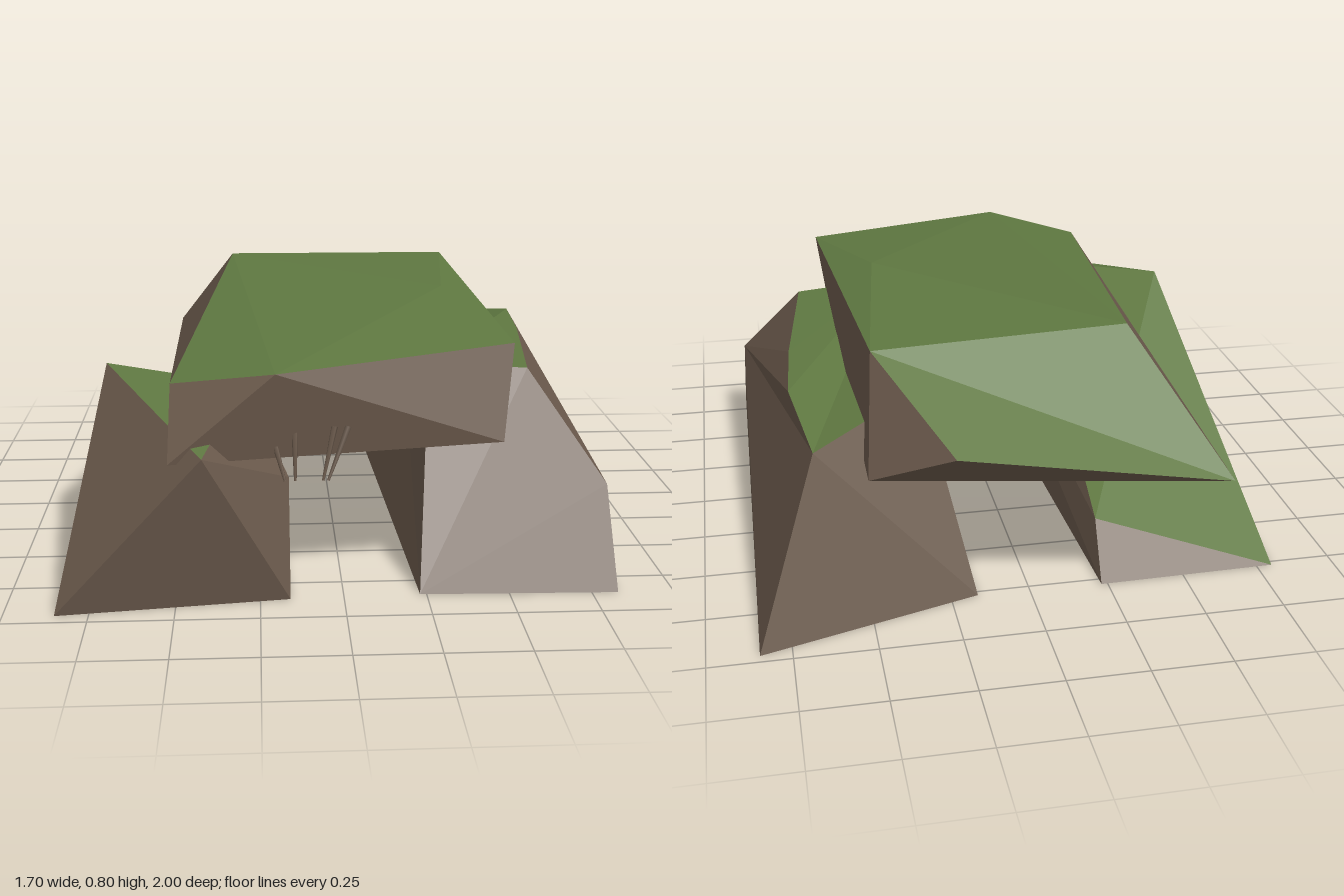
import * as THREE from 'three';

const stone = new THREE.MeshStandardMaterial({ color: 0x6b5a4c });
stone.name = 'brown stone';
const grass = new THREE.MeshStandardMaterial({ color: 0x5f7841 });
grass.name = 'green grass';

// Flat faceted mesh from polygons named by their corner points; each triangle is turned outward
function facets(name, points, faces, material) {
  const all = Object.values(points).map((p) => new THREE.Vector3(...p));
  const centre = all.reduce((s, p) => s.add(p), new THREE.Vector3()).divideScalar(all.length);
  const corners = [];
  const normal = new THREE.Vector3();
  for (const face of faces) {
    const poly = face.split(' ').map((k) => new THREE.Vector3(...points[k]));
    for (let i = 1; i < poly.length - 1; i++) {
      const [a, b, c] = [poly[0], poly[i], poly[i + 1]];
      normal.crossVectors(b.clone().sub(a), c.clone().sub(a));
      const outward = normal.dot(a.clone().add(b).add(c).divideScalar(3).sub(centre)) > 0;
      corners.push(...(outward ? [a, b, c] : [a, c, b]));
    }
  }
  const geometry = new THREE.BufferGeometry().setFromPoints(corners);
  geometry.computeVertexNormals();
  const mesh = new THREE.Mesh(geometry, material);
  mesh.name = name;
  return mesh;
}

// A rock has stone sides and a grassy top
function rock(name, points, sides, top) {
  const group = new THREE.Group();
  group.name = name;
  group.add(facets(name + 'Stone', points, sides, stone));
  group.add(facets(name + 'Grass', points, top, grass));
  return group;
}

export function createModel() {
  const model = new THREE.Group();
  model.name = 'rockArch';

  // Left supporting rock (+x)
  model.add(rock('leftRock', {
    frontOut: [0.83, 0, 0.87], backOut: [0.845, 0, -0.97],
    backIn: [0.165, 0, -0.77], frontIn: [0.23, 0, 0.855],
    shoulder: [0.82, 0.29, 0.71],
    t1: [0.61, 0.595, 0.45], t2: [0.68, 0.595, -0.12], t3: [0.7, 0.595, -0.44], t4: [0.65, 0.53, -0.75],
    i1: [0.29, 0.615, 0.47], i2: [0.3, 0.615, -0.53],
  }, [
    'shoulder t1 t2 t3 t4 backOut frontOut',
    'frontIn frontOut shoulder t1 i1',
    'frontIn i1 i2 backIn',
    'backIn i2 t4 backOut',
    'frontOut backOut backIn frontIn',
  ], ['i1 t1 t2 t3 t4 i2']));

  // Right supporting rock (-x), its grass sloping down to the ground at the back
  model.add(rock('rightRock', {
    frontOut: [-0.85, 0, 0.955], backOut: [-0.8, 0, -0.77],
    backIn: [-0.23, 0, -0.78], frontIn: [-0.16, 0, 0.87],
    crest: [-0.73, 0.61, 0.38], crestIn: [-0.29, 0.6, 0.62],
    low: [-0.25, 0.14, -0.61], peak: [-0.41, 0.485, 1], ledge: [-0.16, 0.34, 0.74],
  }, [
    'frontOut crest backOut',
    'frontOut peak crest',
    'frontOut frontIn peak',
    'frontIn ledge peak',
    'peak ledge crestIn',
    'low crestIn ledge',
    'backIn low ledge frontIn',
    'backOut low backIn',
    'frontOut backOut backIn frontIn',
  ], ['crest peak crestIn', 'crest crestIn low backOut']));

  // Capstone lying across both rocks
  model.add(rock('capstone', {
    b1: [-0.56, 0.45, -1], b2: [0.495, 0.45, -0.8], b3: [0.485, 0.45, 0.77], b4: [-0.51, 0.45, 0.94],
    backRidge: [0.26, 0.58, -0.97],
    topBackR: [-0.34, 0.795, -0.57], topBackL: [0.46, 0.785, -0.62], mid: [0.37, 0.8, 0.13],
    frontL: [0.525, 0.73, 0.67], frontMid: [-0.2, 0.71, 0.93], frontR: [-0.505, 0.65, 0.79],
  }, [
    'b1 topBackR frontR b4',
    'b4 frontR frontMid',
    'frontMid b3 b4',
    'frontMid frontL b3',
    'frontL topBackL b2 b3',
    'topBackL backRidge b2',
    'b1 backRidge b2',
    'b1 b2 b3 b4',
  ], [
    'b1 backRidge topBackL topBackR',
    'mid topBackL topBackR frontMid frontL',
    'mid frontL topBackL',
    'topBackR frontR frontMid',
  ]));

  // Thin roots hanging from the front edge: top x, top y, bottom x
  const roots = new THREE.Group();
  roots.name = 'hangingRoots';
  for (const [x0, y0, x1] of [[-0.205, 0.5, -0.175], [-0.145, 0.53, -0.145], [-0.03, 0.54, -0.065], [0.01, 0.54, -0.05]]) {
    const top = new THREE.Vector3(x0, y0, 0.88);
    const span = new THREE.Vector3(x1, 0.39, 0.92).sub(top);
    const root = new THREE.Mesh(new THREE.CylinderGeometry(0.004, 0.01, span.length(), 5), stone);
    root.position.copy(top).addScaledVector(span, 0.5);
    root.quaternion.setFromUnitVectors(new THREE.Vector3(0, 1, 0), span.normalize());
    root.name = 'root';
    roots.add(root);
  }
  model.add(roots);
  return model;
}
